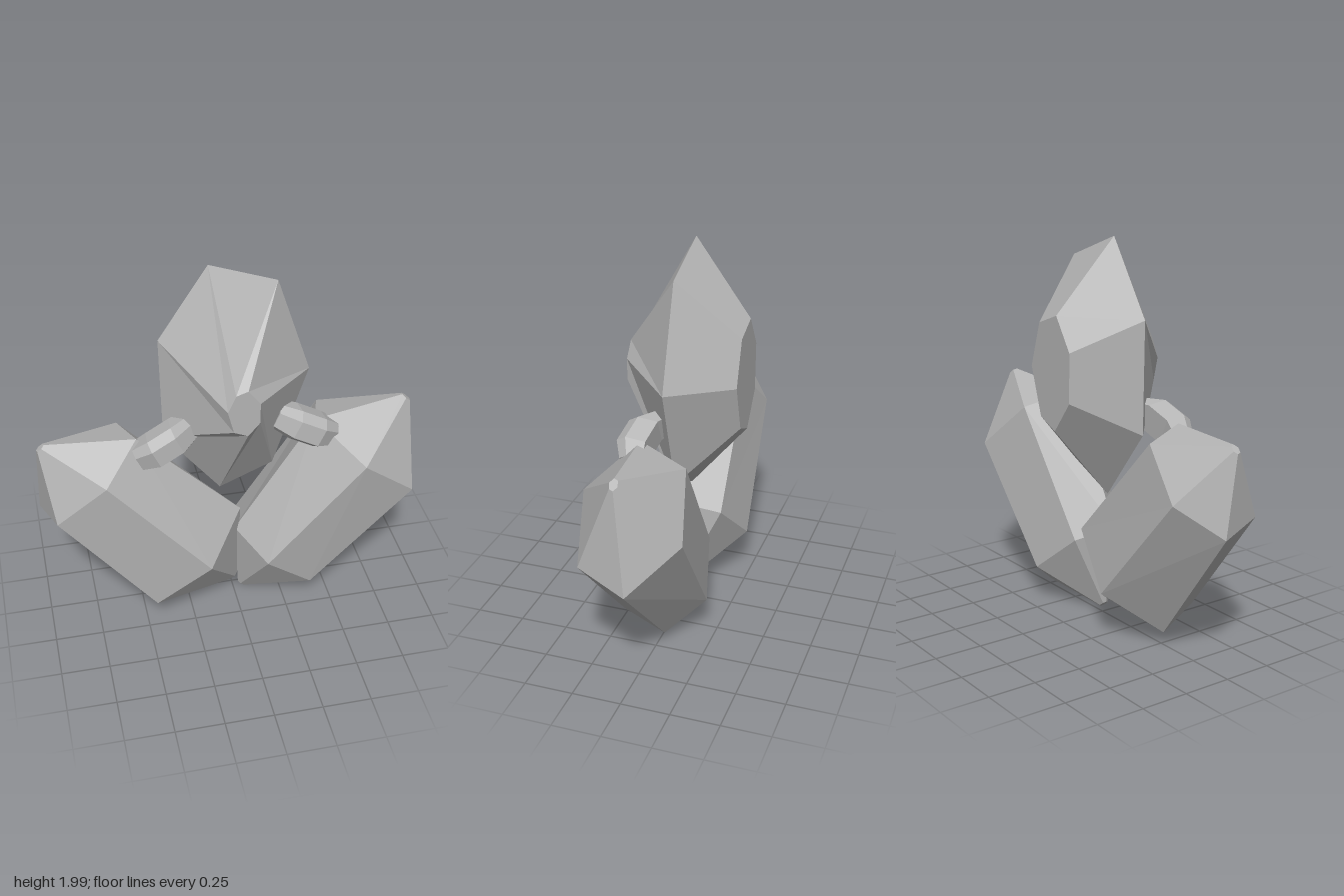
import * as THREE from 'three';

const stone = new THREE.MeshStandardMaterial({ color: 0xb4b4b4, flatShading: true });
stone.name = 'grey stone';

// Skin a closed solid over cross-section rings, capped at both ends, faces outward
function loft(name, rings) {
  const tris = [];
  const n = rings[0].length;
  const last = rings[rings.length - 1];
  for (let r = 0; r < rings.length - 1; r++) {
    for (let i = 0; i < n; i++) {
      const j = (i + 1) % n;
      const [a, b, c, d] = [rings[r][i], rings[r][j], rings[r + 1][j], rings[r + 1][i]];
      tris.push([a, b, c], [a, c, d]);
    }
  }
  for (let i = 1; i < n - 1; i++) {
    tris.push([rings[0][0], rings[0][i + 1], rings[0][i]]);
    tris.push([last[0], last[i], last[i + 1]]);
  }
  const volume = tris.reduce((s, [a, b, c]) => s + a.dot(b.clone().cross(c)), 0);
  const points = tris.flatMap(([a, b, c]) => (volume < 0 ? [a, c, b] : [a, b, c]));
  const geometry = new THREE.BufferGeometry().setFromPoints(points);
  geometry.computeVertexNormals();
  const mesh = new THREE.Mesh(geometry, stone);
  mesh.name = name;
  return mesh;
}

const vectors = (list) => list.map((p) => new THREE.Vector3(...p));

// Shrink a ring about its middle and move it to a new centre
function shrunk(ring, centre, scale) {
  const mid = ring.reduce((s, p) => s.add(p), new THREE.Vector3()).divideScalar(ring.length);
  return ring.map((p) => p.clone().sub(mid).multiplyScalar(scale).add(centre));
}

// Six-sided crystal: tiny blunt tips at both ends of a long prism
function crystal(name, upper, lower, topTip, bottomTip) {
  const up = vectors(upper);
  const low = vectors(lower);
  return loft(name, [
    shrunk(up, new THREE.Vector3(...topTip), 0.08),
    up,
    low,
    shrunk(low, new THREE.Vector3(...bottomTip), 0.08),
  ]);
}

// Bent bar with a bevelled six-sided section
function clasp(name, side) {
  const path = vectors([[-0.5, 1.03, 0.12], [-0.42, 1.075, 0.15], [-0.3, 1.13, 0.13], [-0.21, 1.15, 0.06]]);
  const section = [[-0.085, 0.01], [-0.05, 0.06], [0.05, 0.06], [0.085, 0.01], [0.07, -0.09], [-0.07, -0.09]];
  const rings = path.map((p, k) => {
    const s = k === 0 || k === 3 ? 0.8 : 1;
    return section.map(([v, z]) => new THREE.Vector3(
      (p.x - 0.42 * v * s) * -side, p.y + 0.9 * v * s, p.z + z * s));
  });
  return loft(name, rings);
}

export function createModel() {
  const model = new THREE.Group();
  model.name = 'crystalFigure';

  // Upright seven-sided gem, narrow facet in front and wide facet behind
  const rim = vectors([
    [-0.11, 2.0, -0.01], [0.23, 1.88, -0.01], [0.4, 1.36, -0.01], [0.22, 0.8, -0.01],
    [-0.06, 0.68, -0.01], [-0.35, 1.05, -0.01], [-0.36, 1.62, -0.01],
  ]);
  const front = vectors([
    [-0.04, 1.45, 0.29], [0.02, 1.47, 0.29], [0.08, 1.39, 0.29], [0.08, 1.28, 0.29],
    [0.02, 1.21, 0.29], [-0.05, 1.24, 0.29], [-0.08, 1.36, 0.29],
  ]);
  const back = rim.map((p) => new THREE.Vector3(p.x * 0.44, 1.34 + (p.y - 1.34) * 0.44, -0.31));
  model.add(loft('headGem', [front, rim, back]));

  // Two leaning crystals
  model.add(crystal('rightCrystal',
    [[-0.68, 0.98, 0.27], [-0.93, 0.75, 0.21], [-1.0, 0.7, -0.03],
      [-0.82, 0.85, -0.2], [-0.57, 1.08, -0.14], [-0.5, 1.13, 0.09]],
    [[-0.17, 0.4, 0.31], [-0.45, 0.15, 0.24], [-0.53, 0.08, -0.01],
      [-0.32, 0.27, -0.24], [-0.05, 0.52, -0.17], [0.03, 0.59, 0.08]],
    [-0.97, 1.115, 0.04], [0.0, 0.09, 0.04]));
  model.add(crystal('leftCrystal',
    [[0.63, 0.93, 0.31], [0.92, 0.68, 0.23], [1.0, 0.61, -0.03],
      [0.78, 0.8, -0.24], [0.49, 1.05, -0.16], [0.41, 1.12, 0.1]],
    [[0.14, 0.34, 0.27], [0.39, 0.12, 0.21], [0.45, 0.06, -0.03],
      [0.31, 0.21, -0.21], [0.05, 0.42, -0.14], [0.0, 0.46, 0.08]],
    [0.91, 1.145, 0.04], [0.045, 0.025, 0.04]));

  // Clasps bridging the head gem and the crystals
  model.add(clasp('rightClasp', -1), clasp('leftClasp', 1));
  return model;
}
